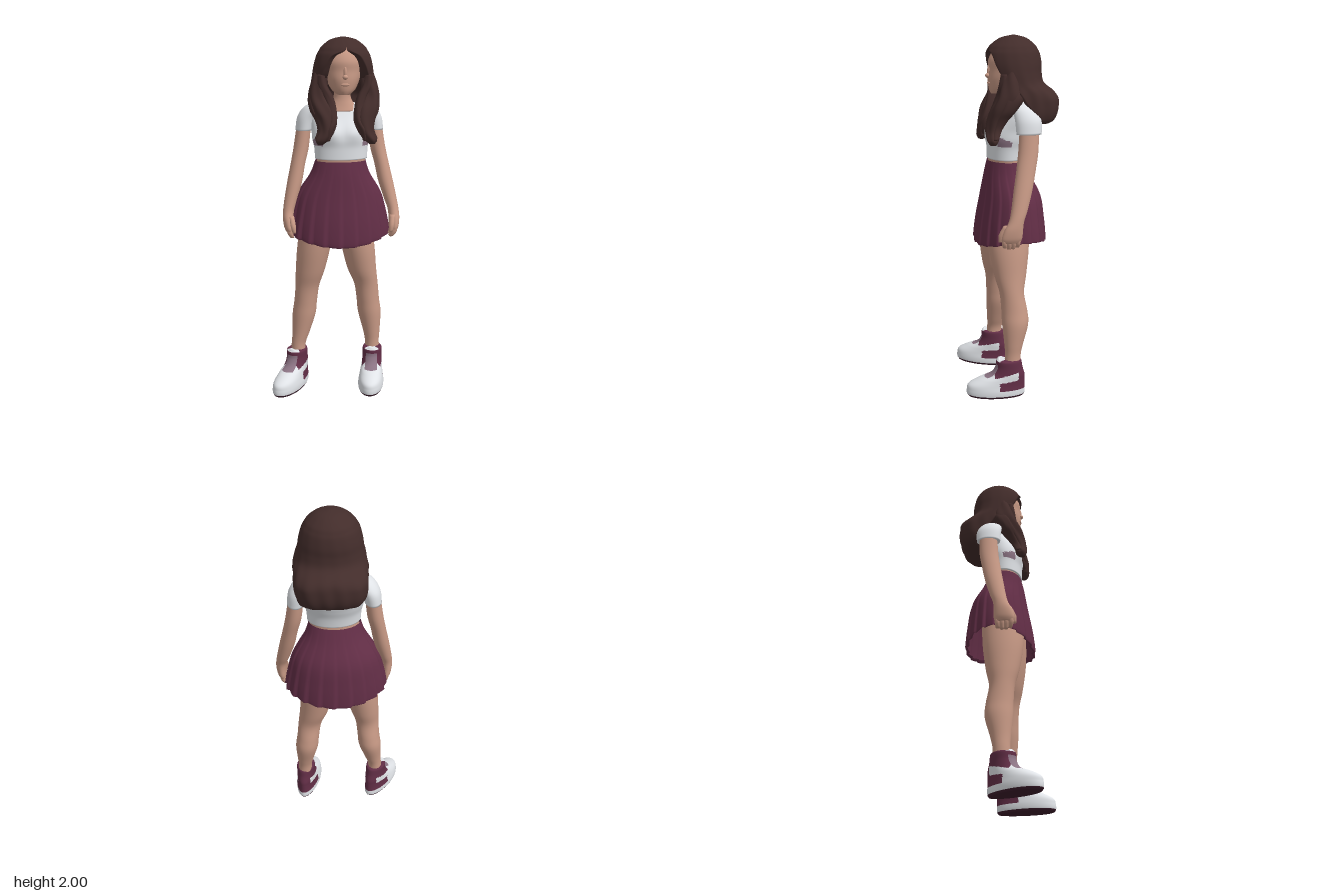
import * as THREE from 'three';

const mat = (name, color, side = THREE.FrontSide) => {
  const m = new THREE.MeshStandardMaterial({ color, side });
  m.name = name;
  return m;
};
const skin = mat('skin', 0xc79985);
const hairBrown = mat('hair brown', 0x432d2b, THREE.DoubleSide);
const white = mat('white', 0xe0e3e7);
const maroon = mat('maroon', 0x622e46, THREE.DoubleSide);
const mauve = mat('mauve', 0x8c7484);
const soleDark = mat('sole dark', 0x3c1c2b);

// Catmull-Rom through one column of a row table
function sample(rows, k, t) {
  const i = Math.min(Math.floor(t), rows.length - 2), f = t - i;
  const at = (j) => rows[Math.max(0, Math.min(rows.length - 1, j))][k];
  const [a, b, c, d] = [at(i - 1), at(i), at(i + 1), at(i + 2)];
  return 0.5 * (2 * b + (c - a) * f + (2 * a - 5 * b + 4 * c - d) * f * f + (3 * b - a - 3 * c + d) * f * f * f);
}

// Skin over horizontal ellipses, listed from top to bottom: [y, x, z, rx, rz, gap]
// gap is the half angle left open at the front; paint picks a material per quad
function loft(name, rows, material, { n = 28, sub = 5, cap = true, open = false, warp, paint } = {}) {
  const steps = (rows.length - 1) * sub, rings = [];
  for (let s = 0; s <= steps; s++) rings.push([0, 1, 2, 3, 4, 5].map((k) => (k === 5 && !open ? 0 : sample(rows, k, s / sub))));
  if (cap) {
    const shut = (r) => [r[0], r[1], r[2], 0.0005, 0.0005, r[5]];
    rings.unshift(shut(rings[0]));
    rings.push(shut(rings[rings.length - 1]));
  }
  const cols = open ? n + 1 : n, pos = [], pts = [];
  rings.forEach(([y, x, z, rx, rz, gap], i) => {
    const g = Math.max(0, gap);
    for (let j = 0; j < cols; j++) {
      const a = g + (j / n) * (Math.PI * 2 - 2 * g);
      const edge = open && (j === 0 || j === n) ? 1 - 0.35 * Math.min(1, g / 0.4) : 1;
      const d = new THREE.Vector3(Math.max(rx, 0.0005) * Math.sin(a) * edge, 0, Math.max(rz, 0.0005) * Math.cos(a) * edge);
      if (warp) warp(d, a, y, i / (rings.length - 1));
      d.add(new THREE.Vector3(x, y, z));
      pts.push(d);
      pos.push(d.x, d.y, d.z);
    }
  });
  const buckets = [[], [], [], []];
  for (let i = 0; i < rings.length - 1; i++) {
    for (let j = 0; j < n; j++) {
      const a = i * cols + j, c = i * cols + ((j + 1) % cols), b = a + cols, d = c + cols;
      const mid = pts[a].clone().add(pts[d]).multiplyScalar(0.5);
      const turn = ((j + 0.5) / n) * Math.PI * 2;
      buckets[paint ? paint(mid, Math.min(turn, Math.PI * 2 - turn)) : 0].push(a, b, c, c, b, d);
    }
  }
  const g = new THREE.BufferGeometry();
  g.setAttribute('position', new THREE.Float32BufferAttribute(pos, 3));
  g.setIndex(buckets.flat());
  if (paint) {
    let start = 0;
    buckets.forEach((b, k) => { if (b.length) g.addGroup(start, b.length, k); start += b.length; });
  }
  g.computeVertexNormals();
  const mesh = new THREE.Mesh(g, material);
  mesh.name = name;
  return mesh;
}

function blob(name, material, p, s) {
  const m = new THREE.Mesh(new THREE.SphereGeometry(1, 20, 14), material);
  m.name = name;
  m.position.set(...p);
  m.scale.set(...s);
  return m;
}

// Mirror rows across x = c for the left side, optionally shifting z towards the lower end
const flip = (rows, c, dz = 0) => rows.map((r, i) => [r[0], 2 * c - r[1], r[2] + dz * (i / (rows.length - 1)), r[3], r[4]]);

function makeHead() {
  const g = new THREE.Group();
  g.name = 'head';
  g.add(loft('face', [[1.95, 0.055, -0.03, 0.06, 0.06], [1.92, 0.055, -0.025, 0.09, 0.095], [1.87, 0.055, -0.02, 0.106, 0.116],
    [1.82, 0.055, -0.017, 0.103, 0.113], [1.77, 0.055, -0.005, 0.09, 0.106], [1.72, 0.055, 0.01, 0.066, 0.086],
    [1.693, 0.055, 0.035, 0.035, 0.05]], skin));
  g.add(loft('neck', [[1.76, 0.055, -0.035, 0.05, 0.05], [1.68, 0.055, -0.035, 0.047, 0.048], [1.635, 0.055, -0.04, 0.07, 0.06],
    [1.6, 0.055, -0.045, 0.1, 0.075]], skin));
  g.add(blob('nose', skin, [0.055, 1.788, 0.1], [0.015, 0.013, 0.016]));
  g.add(blob('nose bridge', skin, [0.055, 1.81, 0.093], [0.01, 0.035, 0.012]));
  g.add(blob('lips', skin, [0.055, 1.748, 0.095], [0.024, 0.009, 0.009]));
  return g;
}

function makeHair() {
  const g = new THREE.Group();
  g.name = 'hair';
  // Cap open over the face, swelling into a squarish roll at the back
  g.add(loft('hair cap and back', [[2, 0.06, -0.04, 0.01, 0.01, 0], [1.985, 0.06, -0.037, 0.07, 0.07, 0], [1.95, 0.06, -0.035, 0.117, 0.118, 0],
    [1.925, 0.06, -0.034, 0.135, 0.136, 0.06], [1.9, 0.06, -0.033, 0.148, 0.148, 0.42], [1.85, 0.06, -0.035, 0.162, 0.155, 0.62],
    [1.8, 0.06, -0.04, 0.17, 0.15, 0.75], [1.75, 0.06, -0.055, 0.177, 0.148, 0.95], [1.7, 0.063, -0.088, 0.188, 0.172, 1.15],
    [1.64, 0.064, -0.092, 0.19, 0.178, 1.38], [1.58, 0.064, -0.092, 0.184, 0.168, 1.75], [1.54, 0.064, -0.1, 0.16, 0.13, 2.0],
    [1.53, 0.064, -0.1, 0.09, 0.06, 2.1]],
  hairBrown, { n: 72, open: true, warp: (d, a, y) => {
    const low = THREE.MathUtils.smoothstep(1.76 - y, 0, 0.1), p = 2 + low * 1.2;
    const sq = Math.pow(Math.abs(Math.sin(a)) ** p + Math.abs(Math.cos(a)) ** p, -1 / p);
    d.multiplyScalar(1 + (sq - 1) * low + (0.004 + 0.01 * low) * Math.sin(15 * a + 12 * y));
  } }));
  // Wavy locks emerging from under the cap and falling over the chest
  const lock = [[1.84, -0.06, -0.01, 0.03, 0.03], [1.79, -0.068, 0, 0.04, 0.045], [1.74, -0.078, 0.005, 0.045, 0.055],
    [1.68, -0.082, 0.012, 0.052, 0.068], [1.62, -0.062, 0.04, 0.062, 0.072], [1.56, -0.043, 0.077, 0.056, 0.052],
    [1.5, -0.047, 0.1, 0.042, 0.038], [1.455, -0.072, 0.108, 0.036, 0.03], [1.43, -0.082, 0.108, 0.015, 0.015]];
  const strand = [[1.8, -0.07, 0.04, 0.018, 0.022], [1.74, -0.062, 0.045, 0.025, 0.028], [1.68, -0.032, 0.055, 0.027, 0.03],
    [1.62, -0.015, 0.075, 0.026, 0.028], [1.56, -0.012, 0.1, 0.023, 0.025], [1.51, -0.032, 0.118, 0.021, 0.022], [1.45, -0.042, 0.115, 0.012, 0.014]];
  const outer = [[1.72, -0.095, -0.01, 0.025, 0.04], [1.67, -0.11, 0.0, 0.028, 0.045], [1.61, -0.105, 0.03, 0.026, 0.04],
    [1.56, -0.08, 0.06, 0.026, 0.035], [1.51, -0.07, 0.085, 0.025, 0.028], [1.46, -0.095, 0.1, 0.018, 0.018]];
  const twist = (d, a, y) => d.multiplyScalar(1 + 0.07 * Math.sin(5 * a + 22 * y));
  for (const f of [(r) => r, (r) => flip(r, 0.06)]) {
    g.add(loft('front lock', f(lock), hairBrown, { n: 36, warp: twist }));
    g.add(loft('inner strand', f(strand), hairBrown, { n: 20, warp: twist }));
    g.add(loft('outer strand', f(outer), hairBrown, { n: 20, warp: twist }));
  }
  return g;
}

function makeBody() {
  const g = new THREE.Group();
  g.name = 'body';
  const bell = (v, w) => Math.exp(-((v / w) ** 2));
  g.add(loft('cropped top', [[1.645, 0.055, -0.055, 0.06, 0.045], [1.62, 0.055, -0.06, 0.14, 0.07], [1.57, 0.052, -0.052, 0.168, 0.095],
    [1.5, 0.046, -0.028, 0.163, 0.116], [1.45, 0.045, -0.012, 0.16, 0.116], [1.4, 0.045, -0.003, 0.15, 0.106],
    [1.34, 0.045, 0.003, 0.146, 0.1]], [white, mauve], { n: 56, sub: 7,
    warp: (d, a, y) => { if (d.z > 0) d.z += 0.022 * bell(Math.abs(d.x) - 0.068, 0.05) * bell(y - 1.495, 0.05) * Math.cos(a); },
    paint: (p, a) => (a > 0.75 && a < 1.5 && p.y > 1.415 && p.y < 1.47 - 0.04 * (a - 0.75) ? 1 : 0) }));
  g.add(loft('waist and hips', [[1.36, 0.045, 0.002, 0.138, 0.094], [1.3, 0.043, 0, 0.138, 0.094], [1.12, 0.03, -0.01, 0.17, 0.11],
    [1.04, 0.02, 0, 0.15, 0.1], [0.99, 0.018, 0, 0.08, 0.07]], skin));
  // Pleats deepen towards a hem that rises at the sides
  g.add(loft('pleated skirt', [[1.328, 0.041, 0.001, 0.142, 0.1], [1.25, 0.04, -0.007, 0.168, 0.125], [1.13, 0.038, -0.026, 0.237, 0.163],
    [1, 0.037, -0.024, 0.27, 0.184], [0.9, 0.037, -0.022, 0.285, 0.194], [0.865, 0.037, -0.022, 0.284, 0.193], [0.87, 0.037, -0.022, 0.27, 0.182]],
  maroon, { n: 200, cap: false, warp: (d, a, y, t) => {
    const saw = ((a / (Math.PI * 2)) * 20) % 1;
    d.multiplyScalar(1 + t * 0.085 * (Math.min(saw, (1 - saw) * 5) - 0.45));
    d.y = t * t * (0.065 * Math.sin(a) ** 2 + 0.01 * (1 - Math.cos(a)) - 0.008);
  } }));
  return g;
}

function makeArm(left) {
  const g = new THREE.Group();
  g.name = left ? 'leftArm' : 'rightArm';
  const f = (rows, dz) => (left ? flip(rows, 0.045, dz) : rows);
  g.add(loft('sleeve', f([[1.643, -0.08, -0.06, 0.03, 0.04], [1.615, -0.105, -0.065, 0.055, 0.062], [1.56, -0.142, -0.075, 0.052, 0.071],
    [1.49, -0.158, -0.075, 0.046, 0.068]]), white));
  g.add(loft('arm and palm', f([[1.53, -0.155, -0.078, 0.04, 0.052], [1.4, -0.172, -0.07, 0.043, 0.054], [1.3, -0.194, -0.054, 0.041, 0.052],
    [1.2, -0.215, -0.035, 0.042, 0.05], [1.1, -0.24, -0.012, 0.036, 0.044], [1.045, -0.253, 0.004, 0.031, 0.041],
    [1.0, -0.256, 0.017, 0.03, 0.05], [0.955, -0.253, 0.023, 0.027, 0.056], [0.93, -0.249, 0.023, 0.02, 0.05]], 0.022), skin));
  const hand = new THREE.Group();
  hand.name = 'fingers';
  hand.position.z = left ? 0.022 : 0;
  for (let k = 0; k < 4; k++) {
    const z = -0.014 + k * 0.025, end = 0.9 - 0.008 * (k === 1 || k === 2);
    hand.add(loft('finger', f([[0.96, -0.252, z, 0.015, 0.014], [0.925, -0.248, z, 0.016, 0.014], [end, -0.236, z * 0.9, 0.011, 0.011]]), skin, { n: 12, sub: 3 }));
  }
  hand.add(loft('thumb', f([[1.02, -0.24, 0.045, 0.015, 0.018], [0.97, -0.232, 0.072, 0.015, 0.016], [0.93, -0.226, 0.076, 0.01, 0.011]]), skin, { n: 12, sub: 3 }));
  g.add(hand);
  return g;
}

function makeLeg(left) {
  const g = new THREE.Group();
  g.name = left ? 'leftLeg' : 'rightLeg';
  // Shared girths: [y, z, rx, rz], with a centre line for each side
  const girth = [[1.05, 0, 0.1, 0.12], [0.85, 0.005, 0.096, 0.112], [0.7, 0.005, 0.084, 0.091], [0.6, 0.003, 0.069, 0.069],
    [0.5, -0.008, 0.066, 0.073], [0.42, -0.011, 0.067, 0.074], [0.31, 0, 0.05, 0.054], [0.24, 0.006, 0.041, 0.045], [0.15, 0.01, 0.045, 0.05]];
  const line = left ? [0.1, 0.14, 0.166, 0.193, 0.207, 0.217, 0.228, 0.232, 0.234] : [-0.07, -0.108, -0.132, -0.15, -0.16, -0.17, -0.19, -0.205, -0.207];
  g.add(loft('leg', girth.map(([y, z, rx, rz], i) => [y, line[i], z, rx, rz]), skin, { n: 32 }));
  const shoe = loft('high top shoe', [[0.218, 0, 0.01, 0.05, 0.06], [0.21, 0, 0.01, 0.059, 0.071], [0.17, 0, 0.009, 0.059, 0.077],
    [0.13, 0, 0.018, 0.062, 0.097], [0.1, 0, 0.052, 0.067, 0.132], [0.07, 0, 0.079, 0.073, 0.159], [0.04, 0, 0.084, 0.078, 0.165],
    [0.014, 0, 0.085, 0.077, 0.165], [0, 0, 0.085, 0.07, 0.156]], [white, maroon, mauve, soleDark],
  { n: 96, sub: 10, warp: (d, a) => { d.x *= 0.93 + 0.1 * Math.cos(a); },
    paint: (p, front) => {
      if (p.y < 0.012) return 3;
      if (p.y < 0.045) return 0;
      if (p.y > 0.212) return front < 0.8 ? 0 : 1;
      if (front < 0.6 && p.y > 0.115 && p.y < 0.19) return 2;
      if (p.y > 0.14 - 0.25 * p.z) return p.z > 0.09 ? 0 : 1;
      if (p.y > 0.098 - 0.1 * p.z) return p.z < -0.045 ? 1 : 0;
      return p.z < 0.06 ? 1 : 0;
    } });
  shoe.position.set(left ? 0.233 : -0.207, 0, left ? 0.02 : 0.005);
  shoe.rotation.y = left ? -0.23 : -0.59;
  g.add(shoe);
  // Tongue tip standing above the collar
  const tongue = blob('tongue', white, [0, 0.205, 0.065], [0.03, 0.022, 0.012]);
  shoe.add(tongue);
  return g;
}

export function createModel() {
  const model = new THREE.Group();
  model.name = 'standing girl';
  model.add(makeHead(), makeHair(), makeBody());
  for (const left of [false, true]) model.add(makeArm(left), makeLeg(left));
  return model;
}
